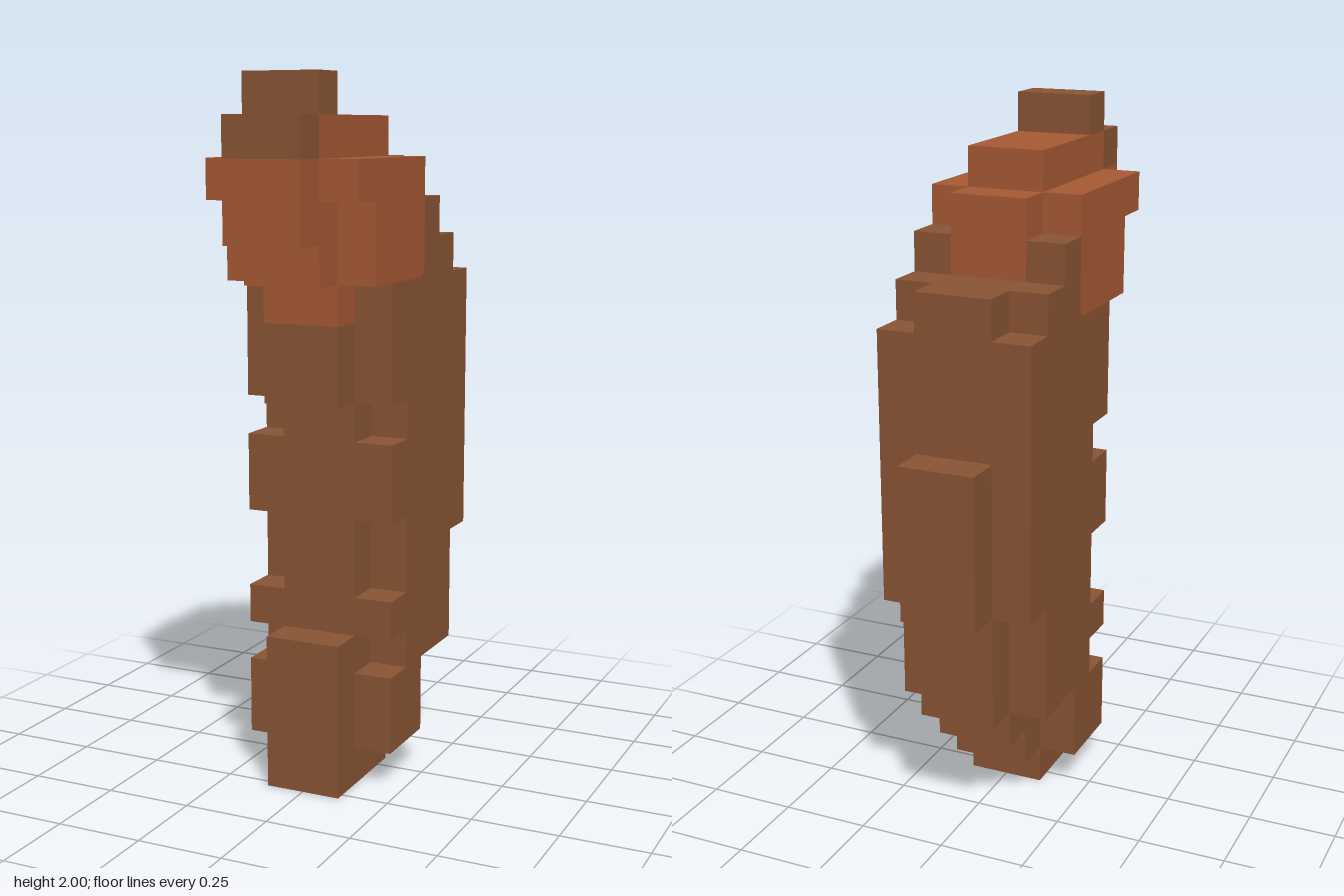
import * as THREE from 'three';

const U = 1 / 9; // one block

export function createModel() {
  const model = new THREE.Group();
  model.name = 'blockFigure';
  const brown = new THREE.MeshStandardMaterial({ color: 0x8b5535 });
  brown.name = 'brown';
  const rust = new THREE.MeshStandardMaterial({ color: 0xa85a34 });
  rust.name = 'rust';

  // Extrudes a (z, y) side profile in block units across x0..x1
  function slab(name, material, points, x0, x1) {
    const shape = new THREE.Shape(points.map(([z, y]) => new THREE.Vector2(z * U, y * U)));
    const geo = new THREE.ExtrudeGeometry(shape, { depth: (x1 - x0) * U, bevelEnabled: false });
    geo.rotateY(-Math.PI / 2).translate(x1 * U, 0, 0);
    const mesh = new THREE.Mesh(geo, material);
    mesh.name = name;
    model.add(mesh);
  }

  // Middle of the body: foot, belly, chest and stepped back
  slab('bodyCore', brown, [
    [-0.5, 0], [2.5, 0], [2.5, 4], [1.5, 4], [1.5, 10], [2.5, 10], [2.5, 12], [1.5, 12],
    [1.5, 14], [-3.5, 14], [-3.5, 10], [-4.5, 10], [-4.5, 6], [-3.5, 6], [-3.5, 3],
    [-2.5, 3], [-2.5, 2], [-1.5, 2], [-1.5, 1], [-0.5, 1],
  ], -1, 1);

  // Middle of the head with snout and throat
  slab('headCore', rust, [
    [1.5, 12], [2.5, 12], [2.5, 13], [3.5, 13], [3.5, 14], [4.5, 14], [4.5, 16], [3.5, 16],
    [3.5, 17], [-0.5, 17], [-0.5, 16], [-1.5, 16], [-1.5, 14], [1.5, 14],
  ], -1, 1);

  // Snout cap and crest
  slab('snoutCap', brown, [[3.5, 16], [4.5, 16], [4.5, 17], [3.5, 17]], -1, 1);
  slab('crest', brown, [[2.5, 17], [3.5, 17], [3.5, 18], [2.5, 18]], -1, 1);

  // Notched body sides and head sides, mirrored; they share a clipped corner
  const corner = [[-0.2, 13], [-0.42, 13.08], [-0.5, 13.3]];
  const bodySide = [
    [-0.5, 1], [1.5, 1], [1.5, 3], [0.5, 3], [0.5, 4], [1.5, 4], [1.5, 5], [0.5, 5],
    [0.5, 7], [1.5, 7], [1.5, 9], [0.5, 9], [0.5, 10], [1.5, 10], [1.5, 13], ...corner,
    [-0.5, 15], [-1.5, 15], [-1.5, 14], [-2.5, 14], [-2.5, 13], [-3.5, 13], [-3.5, 6],
    [-2.5, 6], [-2.5, 3], [-0.5, 3],
  ];
  const headSide = [
    ...corner.slice().reverse(), [2.5, 13], [2.5, 15], [3.5, 15], [3.5, 16], [-0.5, 16],
  ];
  for (const [side, x0] of [['left', 1], ['right', -2]]) {
    slab(side + 'BodySide', brown, bodySide, x0, x0 + 1);
    slab(side + 'HeadSide', rust, headSide, x0, x0 + 1);
  }
  return model;
}
